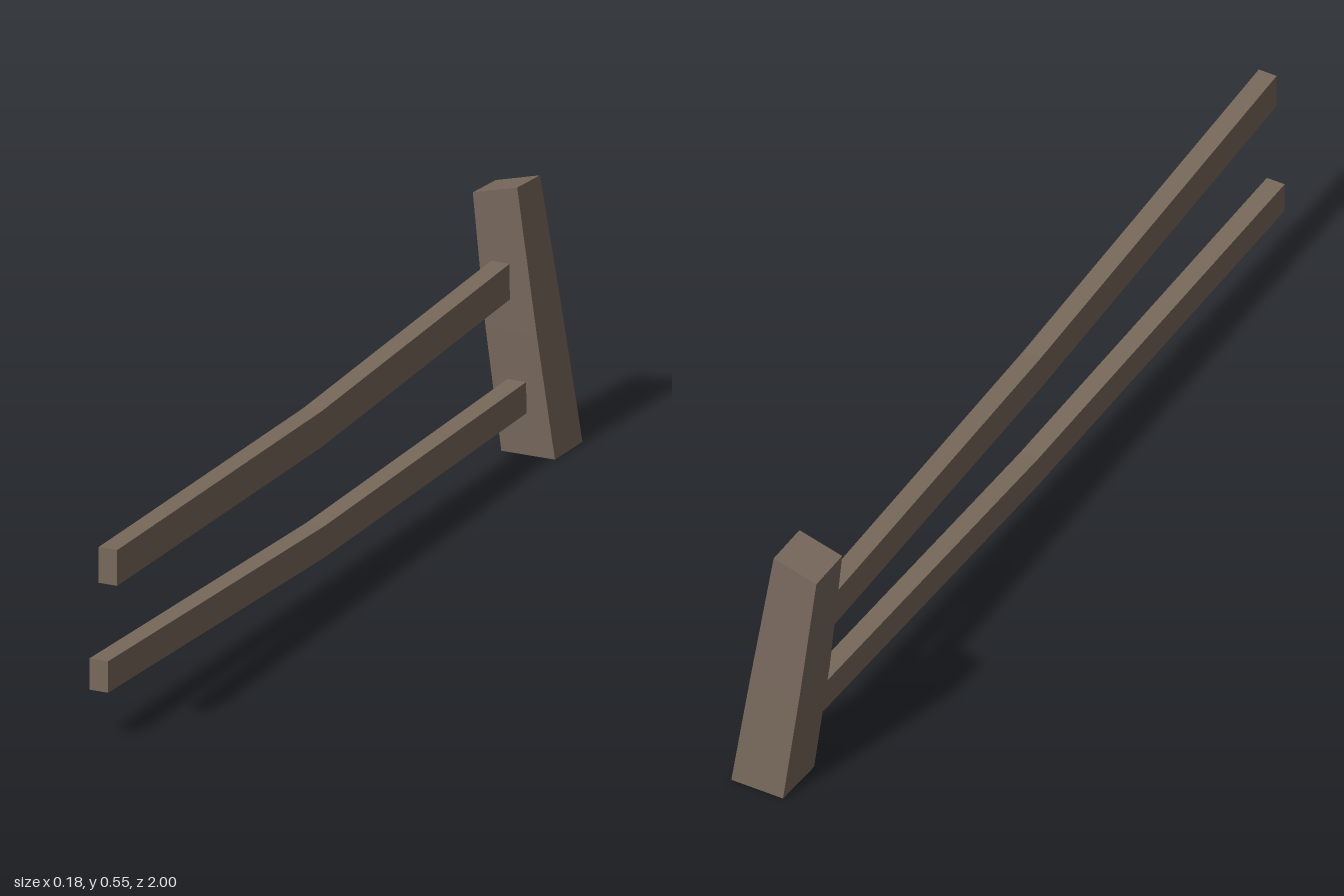
import * as THREE from 'three';

// Skins a beam through four-cornered sections, each listed counter-clockwise
// when seen from the far end, and closes both ends.
function beam(name, sections, material) {
  const pos = [];
  const quad = (a, b, c, d) => pos.push(...a, ...b, ...c, ...a, ...c, ...d);
  for (let s = 0; s < sections.length - 1; s++) {
    const p = sections[s], q = sections[s + 1];
    for (let i = 0; i < 4; i++) {
      const j = (i + 1) % 4;
      quad(p[i], p[j], q[j], q[i]);
    }
  }
  const first = sections[0], last = sections[sections.length - 1];
  quad(first[3], first[2], first[1], first[0]);
  quad(last[0], last[1], last[2], last[3]);
  const geometry = new THREE.BufferGeometry();
  geometry.setAttribute('position', new THREE.Float32BufferAttribute(pos, 3));
  geometry.computeVertexNormals();
  const mesh = new THREE.Mesh(geometry, material);
  mesh.name = name;
  return mesh;
}

// Upright rectangular rail section at depth z
const railSection = (x, y, z, h, w = 0.04) => [
  [x, y, z], [x + w, y, z], [x + w, y + h, z], [x, y + h, z],
];

export function createModel() {
  const group = new THREE.Group();
  group.name = 'fenceSection';
  const postWood = new THREE.MeshStandardMaterial({ color: 0x78685c });
  postWood.name = 'post wood';
  const railWood = new THREE.MeshStandardMaterial({ color: 0x78695a });
  railWood.name = 'rail wood';

  // Leaning, tapering post with a slanted top
  group.add(beam('post', [
    [[-0.036, 0, -0.883], [0.08, 0, -0.883], [0.08, 0, -1], [-0.036, 0, -1]],
    [[-0.065, 0.25, -0.873], [0.046, 0.25, -0.873], [0.046, 0.25, -0.986], [-0.065, 0.25, -0.986]],
    [[-0.09, 0.523, -0.868], [0.006, 0.548, -0.868], [0.006, 0.543, -0.965], [-0.09, 0.518, -0.965]],
  ], postWood));

  // Two sagging rails, bent in the middle, let into the post
  group.add(beam('upperRail', [
    railSection(-0.053, 0.316, -0.89, 0.073),
    railSection(0, 0.304, 0.03, 0.073),
    railSection(0.05, 0.33, 1, 0.073),
  ], railWood));
  group.add(beam('lowerRail', [
    railSection(-0.02, 0.087, -0.9, 0.064),
    railSection(0, 0.075, 0.02, 0.064),
    railSection(0.02, 0.101, 0.98, 0.064),
  ], railWood));

  return group;
}
